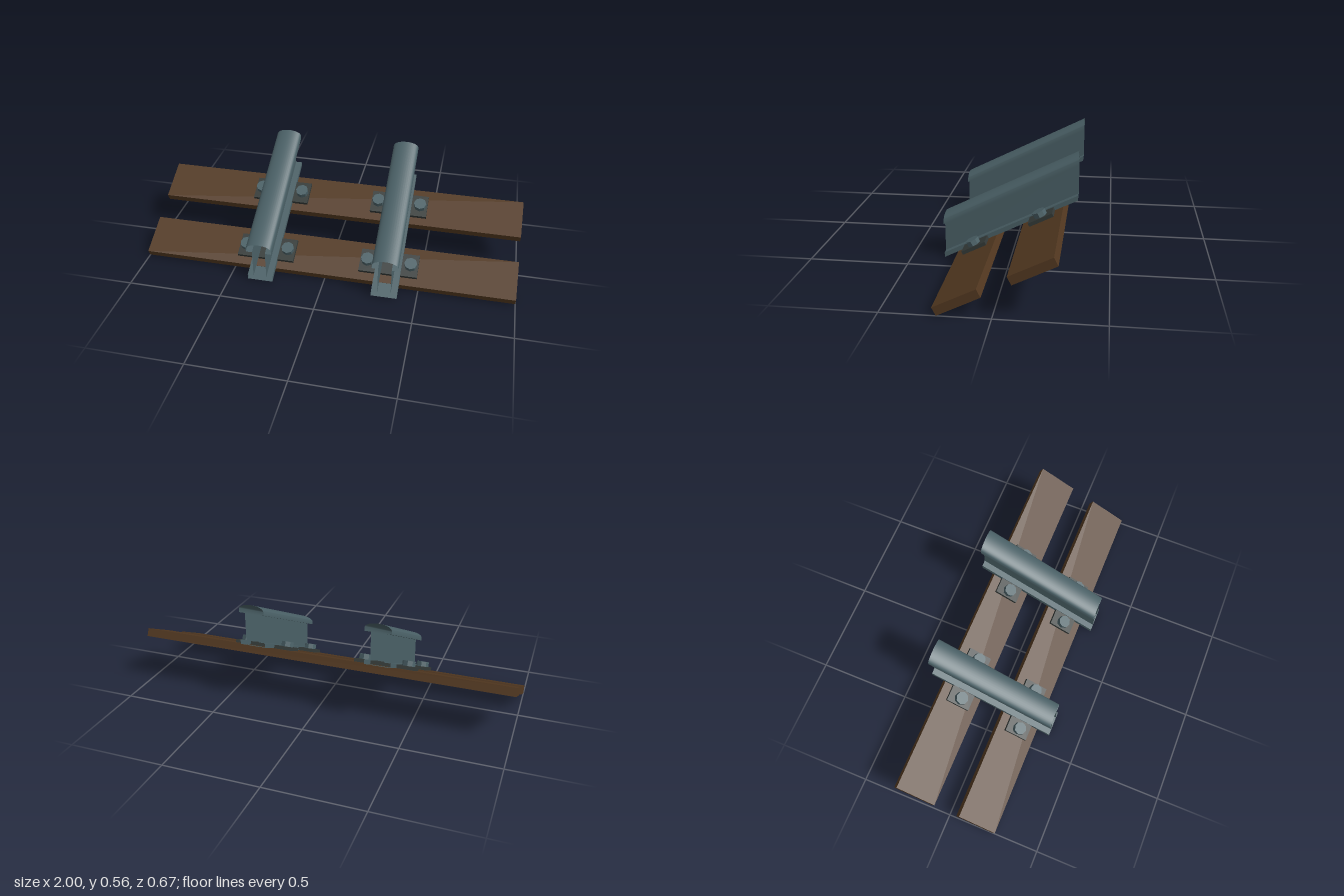
import * as THREE from 'three';
import { toCreasedNormals } from 'three/addons/utils/BufferGeometryUtils.js';

const SLOPE = 0.5, BASE = 0.171, HALF = 0.333;
const lineY = (z) => BASE - SLOPE * z; // height of the rail underside

const steel = new THREE.MeshStandardMaterial({ color: 0x4a6066, side: THREE.DoubleSide });
const wood = new THREE.MeshStandardMaterial({ color: 0x523820 });
const iron = new THREE.MeshStandardMaterial({ color: 0x333937 });
const boltSteel = new THREE.MeshStandardMaterial({ color: 0x4a6066, flatShading: true });

// Hollow rail section (foot, web, domed head), open at both ends and sheared uphill
function railGeometry() {
  const w = 0.068, web = 0.035, foot = 0.025, under = 0.179, dome = 0.197, top = 0.227;
  const profile = [[-w, 0], [w, 0], [w, foot], [web, foot], [web, under], [w, under]];
  const steps = 18;
  for (let i = 0; i <= steps; i++) {
    const a = (i / steps) * Math.PI;
    profile.push([w * Math.cos(a), dome + (top - dome) * Math.sin(a)]);
  }
  profile.push([-w, under], [-web, under], [-web, foot], [-w, foot]);

  const pos = [];
  const put = ([x, y], z) => pos.push(x, y + lineY(z), z);
  profile.forEach((p, i) => {
    const q = profile[(i + 1) % profile.length];
    put(p, HALF); put(p, -HALF); put(q, -HALF);
    put(p, HALF); put(q, -HALF); put(q, HALF);
  });
  const geo = new THREE.BufferGeometry();
  geo.setAttribute('position', new THREE.Float32BufferAttribute(pos, 3));
  return toCreasedNormals(geo, 0.7);
}

function addMesh(parent, name, geo, mat, x, y, z) {
  const mesh = new THREE.Mesh(geo, mat);
  mesh.name = name;
  mesh.position.set(x, y, z);
  parent.add(mesh);
  return mesh;
}

export function createModel() {
  const model = new THREE.Group();
  model.name = 'slopedTrack';
  const railX = [-0.333, 0.333];

  // Rails
  const railGeo = railGeometry();
  railX.forEach((x) => addMesh(model, 'rail', railGeo, steel, x, 0, 0));

  // Sleepers with their tie plates and bolts, tilted to the slope
  const thick = 0.043, plateThick = 0.018, boltHeight = 0.027;
  const sleeperGeo = new THREE.BoxGeometry(2, thick, 0.22);
  const plateGeo = new THREE.BoxGeometry(0.31, plateThick, 0.13);
  const boltGeo = new THREE.CylinderGeometry(0.034, 0.034, boltHeight, 8);
  for (const z of [0.1635, -0.165]) {
    const tie = new THREE.Group();
    tie.name = 'sleeperAssembly';
    tie.position.set(0, lineY(z) + 0.0008, z);
    tie.rotation.x = Math.atan(SLOPE);
    addMesh(tie, 'sleeper', sleeperGeo, wood, 0, -thick / 2, 0);
    for (const x of railX) {
      addMesh(tie, 'tiePlate', plateGeo, iron, x, plateThick / 2, 0);
      for (const side of [-1, 1]) {
        addMesh(tie, 'bolt', boltGeo, boltSteel, x + side * 0.115, plateThick + boltHeight / 2, 0);
      }
    }
    model.add(tie);
  }
  return model;
}
